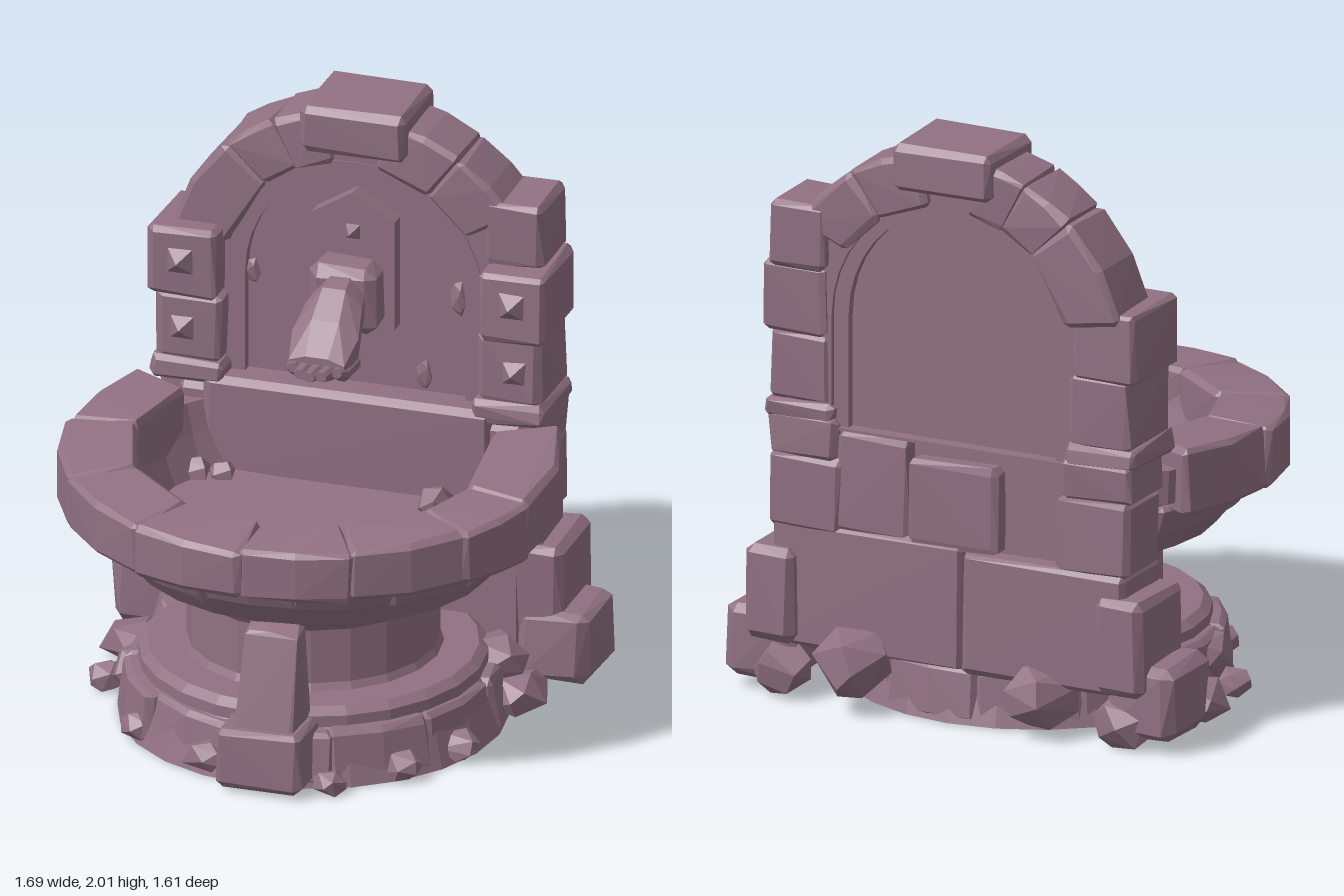
import * as THREE from 'three';
import { ConvexGeometry } from 'three/addons/geometries/ConvexGeometry.js';

const stoneMat = new THREE.MeshStandardMaterial({ color: 0x917182 });
stoneMat.name = 'mauve stone';

export function createModel() {
  const root = new THREE.Group();
  root.name = 'wallFountain';
  let seed = 7;
  const rnd = () => (seed = (seed * 16807) % 2147483647) / 2147483647;
  const jit = (a) => (rnd() - 0.5) * 2 * a;
  const V = (x, y, z) => new THREE.Vector3(x, y, z);

  const add = (name, geo) => {
    const mesh = new THREE.Mesh(geo, stoneMat);
    mesh.name = name;
    root.add(mesh);
    return mesh;
  };
  // bake facet normals
  const flat = (geo) => {
    const g = geo.index ? geo.toNonIndexed() : geo;
    g.computeVertexNormals();
    return g;
  };

  // Chamfered, slightly irregular stone; map bends the -1..1 cube into place
  const chipped = (name, size, map, { ch = 0.018, j = 0.007, bulge = false } = {}) => {
    const pts = [];
    const inset = size.map((s) => 1 - (2 * ch) / s);
    for (const a of [-1, 1]) for (const b of [-1, 1]) for (const c of [-1, 1]) {
      for (let k = 0; k < 3; k++) {
        const p = [a, b, c].map((v, i) => (i === k ? v : v * inset[i]));
        pts.push(map(...p).add(V(jit(j), jit(j), jit(j))));
      }
    }
    if (bulge) for (const c of [-1, 1]) {
      pts.push(map(0, inset[1], c), map(0, 1, c * inset[2]));
    }
    return add(name, new ConvexGeometry(pts));
  };
  const block = (name, x0, x1, y0, y1, z0, z1, opts) =>
    chipped(name, [x1 - x0, y1 - y0, z1 - z0], (a, b, c) => V(
      (x0 + x1) / 2 + a * (x1 - x0) / 2,
      (y0 + y1) / 2 + b * (y1 - y0) / 2,
      (z0 + z1) / 2 + c * (z1 - z0) / 2), opts);
  // Block given by its distance from the centre line, on side s
  const sideBlock = (s, name, x0, x1, ...rest) =>
    block(name, Math.min(s * x0, s * x1), Math.max(s * x0, s * x1), ...rest);

  // Ring of wedge stones around the vertical axis; seams in degrees from +x to +z
  const ring = (name, seams, r0, r1, y0, y1, { zs = 0.955, flare = 0, tilt = 0, wob = 0.012 } = {}) => {
    for (let i = 0; i < seams.length - 1; i++) {
      const s = THREE.MathUtils.degToRad((seams[i] + seams[i + 1]) / 2);
      const half = THREE.MathUtils.degToRad((seams[i + 1] - seams[i]) / 2 + 0.4);
      const grow = jit(wob);
      chipped(name, [r1 * half * 2, r1 - r0, y1 - y0], (a, b, c) => {
        const t = s + a * half;
        const k = (b + 1) / 2;
        const r = r0 + (r1 + grow - r0) * k + (c - 1) * flare * k / 2;
        const z = Math.sin(t) * r * zs;
        return V(Math.cos(t) * r, y0 + (y1 - y0) * (c + 1) / 2 + (c > 0 ? -tilt * z : 0), z);
      }, { bulge: true });
    }
  };
  const even = (from, to, n) => Array.from({ length: n + 1 }, (_, i) => from + (to - from) * i / n);

  const rock = (name, x, y, z, sx, sy, sz) => {
    const pts = [];
    for (let i = 0; i < 14; i++) {
      const h = 1 - (2 * (i + 0.5)) / 14, t = i * 2.4 + jit(0.5), r = Math.sqrt(1 - h * h);
      pts.push(V(x + sx * r * Math.cos(t), Math.max(0, y + sy * h), z + sz * r * Math.sin(t)));
    }
    add(name, new ConvexGeometry(pts));
  };
  // Turned shape, squashed in depth and cut off behind zMin
  const lathe = (name, profile, segs, zs = 1, zMin = -1) => {
    const g = new THREE.LatheGeometry(profile.map(([x, y]) => new THREE.Vector2(x, y)), segs);
    const p = g.attributes.position;
    for (let i = 0; i < p.count; i++) p.setZ(i, Math.max(zMin, p.getZ(i) * zs));
    add(name, flat(g));
  };

  // Stepped base and pedestal
  lathe('baseDisc', [[0, 0], [0.65, 0], [0.6, 0.17], [0.58, 0.19], [0.58, 0.23], [0.55, 0.255], [0, 0.255]], 24);
  ring('baseStone', even(0, 360, 11), 0.45, 0.62, 0.005, 0.19, { zs: 1, flare: -0.02 });
  lathe('pedestal', [[0, 0.24], [0.44, 0.24], [0.42, 0.28], [0.42, 0.47], [0.44, 0.5], [0, 0.5]], 20);

  // Basin bowl with sunken floor, second tier and rim stones
  lathe('basinBowl', [[0, 0.475], [0.42, 0.48], [0.48, 0.5], [0.61, 0.56], [0.68, 0.645], [0.7, 0.75], [0.78, 0.78], [0.79, 0.9],
    [0.63, 0.9], [0.6, 0.8], [0.55, 0.67], [0, 0.65]], 24, 0.945, -0.45);
  ring('basinTier', even(-30, 210, 9), 0.6, 0.75, 0.635, 0.76, { flare: 0.06, zs: 0.945 });
  ring('rimStone', [-27, 14, 35, 63, 89, 116, 146, 177, 207], 0.6, 0.84, 0.74, 0.96, { tilt: 0.055, wob: 0.018 });
  for (const [x, z, s] of [[-0.5, -0.25, 0.06], [-0.41, -0.27, 0.045], [-0.56, 0.1, 0.06], [-0.51, 0.25, 0.05], [-0.25, 0.46, 0.04],
    [0.34, -0.26, 0.07], [0.46, -0.22, 0.06], [0.55, -0.05, 0.08], [0.5, 0.28, 0.05], [0.55, 0.12, 0.05]]) {
    rock('basinDebris', x, 0.68, z, s, s, s);
  }

  // Front foot and leaning post
  block('frontFoot', -0.09, 0.2, 0.02, 0.225, 0.5, 0.735);
  chipped('frontPost', [0.19, 0.35, 0.15], (a, b, c) => {
    const t = (b + 1) / 2;
    return V(0.065 + a * (0.105 - 0.015 * t), 0.2 + 0.37 * t - (c > 0 ? 0.02 * t : 0),
      c > 0 ? 0.695 - 0.075 * t : 0.53 + 0.01 * t);
  }, { bulge: true });

  // Lower wall: core, bonded courses, and the smooth face behind the basin
  block('wallCore', -0.6, 0.6, 0.15, 0.95, -0.56, -0.36);
  block('basinBack', -0.5, 0.5, 0.6, 0.99, -0.5, -0.335);
  block('wallStone', -0.66, -0.05, 0.18, 0.6, -0.655, -0.38);
  block('wallStone', -0.05, 0.66, 0.18, 0.62, -0.645, -0.38);
  block('backStone', -0.18, 0.15, 0.6, 0.9, -0.65, -0.5);
  block('backStone', 0.15, 0.42, 0.6, 0.95, -0.64, -0.5);
  for (const s of [-1, 1]) {
    sideBlock(s, 'wallStone', 0.4, 0.67, 0.59, 0.85, -0.65, -0.4);
    sideBlock(s, 'wallStone', 0.42, 0.675, 0.84, 0.99, -0.645, -0.39);
    sideBlock(s, 'pillarFoot', 0.43, 0.69, 0.96, 1.04, -0.645, -0.335);
  }

  // Arched panel with raised trim and a backing band for the arch stones
  const arch = (path, rx, ry, y0) => {
    path.moveTo(-rx, y0);
    path.lineTo(rx, y0);
    path.lineTo(rx, 1.35);
    path.absellipse(0, 1.35, rx, ry, 0, Math.PI, false);
    path.lineTo(-rx, y0);
    return path;
  };
  const extrude = (name, shape, z0, z1) => {
    const g = new THREE.ExtrudeGeometry(shape, { depth: z1 - z0, bevelEnabled: false, curveSegments: 9 });
    g.translate(0, 0, z0);
    return add(name, flat(g));
  };
  const band = (name, outer, inner, y0, z0, z1) => {
    const shape = arch(new THREE.Shape(), ...outer, y0);
    shape.holes.push(arch(new THREE.Path(), ...inner, y0 + 0.01));
    extrude(name, shape, z0, z1);
  };
  extrude('archPanel', arch(new THREE.Shape(), 0.43, 0.43, 0.58), -0.585, -0.46);
  band('archTrim', [0.45, 0.45], [0.385, 0.41], 0.58, -0.615, -0.425);
  band('archBacking', [0.61, 0.57], [0.44, 0.44], 0.95, -0.63, -0.43);
  for (const [x, y, h] of [[0.35, 1.34, 0.07], [-0.37, 1.34, 0.05], [0.23, 1.05, 0.06]]) {
    rock('panelChip', x, y, -0.46, 0.03, h, 0.02);
  }

  // Pillars, studs, arch stones and keystone
  const stud = (name, x, y, z, r) => {
    const g = new THREE.ConeGeometry(r, 0.045, 4, 1);
    g.rotateY(Math.PI / 4).rotateX(Math.PI / 2);
    add(name, flat(g)).position.set(x, y, z + 0.018);
  };
  for (const s of [-1, 1]) {
    sideBlock(s, 'pillarLower', 0.45, 0.67, 1.03, 1.275, -0.64, -0.35);
    sideBlock(s, 'pillarUpper', 0.46, 0.695, 1.265, 1.51, -0.65, -0.325);
    stud('pillarStud', s * 0.58, 1.4, -0.325, 0.066);
    stud('pillarStud', s * 0.58, 1.15, -0.35, 0.066);
    const angles = s < 0 ? [12, 47, 64, 80] : [32, 56, 80];
    for (let i = 0; i < angles.length - 1; i++) {
      const a0 = angles[i] - 0.5, a1 = angles[i + 1] + 0.5, grow = jit(0.012);
      chipped('archStone', [0.26, 0.18, 0.25], (a, b, c) => {
        const t = THREE.MathUtils.degToRad((a0 + a1) / 2 + a * (a1 - a0) / 2);
        const k = (b + 1) / 2;
        return V(s * Math.cos(t) * (0.45 + (0.215 + grow) * k), 1.35 + Math.sin(t) * (0.44 + (0.185 + grow) * k), -0.535 + c * 0.125);
      }, { bulge: true });
    }
  }
  block('archShoulder', 0.45, 0.655, 1.5, 1.73, -0.67, -0.41);
  block('keystone', -0.18, 0.19, 1.835, 2.0, -0.695, -0.37, { ch: 0.022, j: 0.004 });

  // Spout plate and mount
  const hex = new THREE.Shape([[0, 1.12], [0.145, 1.22], [0.145, 1.61], [0, 1.7], [-0.145, 1.61], [-0.145, 1.22]]
    .map(([x, y]) => new THREE.Vector2(x, y)));
  extrude('spoutPlate', hex, -0.48, -0.4);
  stud('plateStud', 0, 1.56, -0.4, 0.04);
  block('spoutMount', -0.115, 0.115, 1.24, 1.475, -0.42, -0.27, { ch: 0.035 });

  // Hand-shaped spout: faceted segments along a drooping line [z, y, half width, half height]
  const limb = (name, x, rows, dx = 0) => {
    const oct = ([z, y, w, h], i) => Array.from({ length: 8 }, (_, k) => {
      const t = (k + 0.5) * Math.PI / 4;
      return V(x + dx * i + Math.cos(t) * w, y + Math.sin(t) * h, z);
    });
    for (let i = 0; i < rows.length - 1; i++) add(name, new ConvexGeometry([...oct(rows[i], i), ...oct(rows[i + 1], i + 1)]));
  };
  limb('spoutHand', 0, [[-0.3, 1.36, 0.085, 0.1], [-0.21, 1.33, 0.105, 0.11], [-0.12, 1.27, 0.125, 0.09], [-0.03, 1.225, 0.105, 0.035]]);
  for (let i = -2; i <= 2; i++) {
    const reach = 0.05 - 0.015 * i * i;
    limb('spoutFinger', i * 0.044, [[-0.14, 1.21, 0.03, 0.035], [-0.05, 1.205, 0.03, 0.03], [reach, 1.22, 0.02, 0.018]], -i * 0.003);
  }

  // Buttresses and corner blocks
  for (const s of [-1, 1]) {
    sideBlock(s, 'buttress', 0.56, 0.74, 0.2, 0.525, -0.69, -0.36, { ch: 0.025 });
    sideBlock(s, 'cornerBlock', 0.58, 0.835, 0.04, 0.3, -0.65, -0.35, { ch: 0.035, j: 0.012 });
  }
  // Rubble around the foot [x, y, z, half sizes]
  for (const r of [[0.34, 0.17, -0.67, 0.14, 0.13, 0.14], [-0.34, 0.14, -0.63, 0.14, 0.12, 0.12], [0.62, 0.1, -0.64, 0.11, 0.1, 0.07],
    [-0.64, 0.09, -0.62, 0.11, 0.1, 0.07], [-0.7, 0.06, -0.2, 0.12, 0.08, 0.13], [-0.57, 0.11, 0.1, 0.1, 0.09, 0.12], [-0.7, 0.04, 0.06, 0.07, 0.06, 0.06],
    [-0.55, 0.16, -0.24, 0.12, 0.1, 0.13], [-0.18, 0.055, 0.6, 0.08, 0.06, 0.06], [0.27, 0.03, 0.62, 0.06, 0.05, 0.06],
    [0.46, 0.045, 0.43, 0.07, 0.06, 0.07], [0.58, 0.05, 0.22, 0.08, 0.06, 0.08], [0.65, 0.07, -0.2, 0.11, 0.08, 0.12],
    [0.55, 0.16, -0.24, 0.12, 0.1, 0.13], [-0.46, 0.05, 0.42, 0.07, 0.06, 0.07]]) rock('rubble', ...r);
  return root;
}
